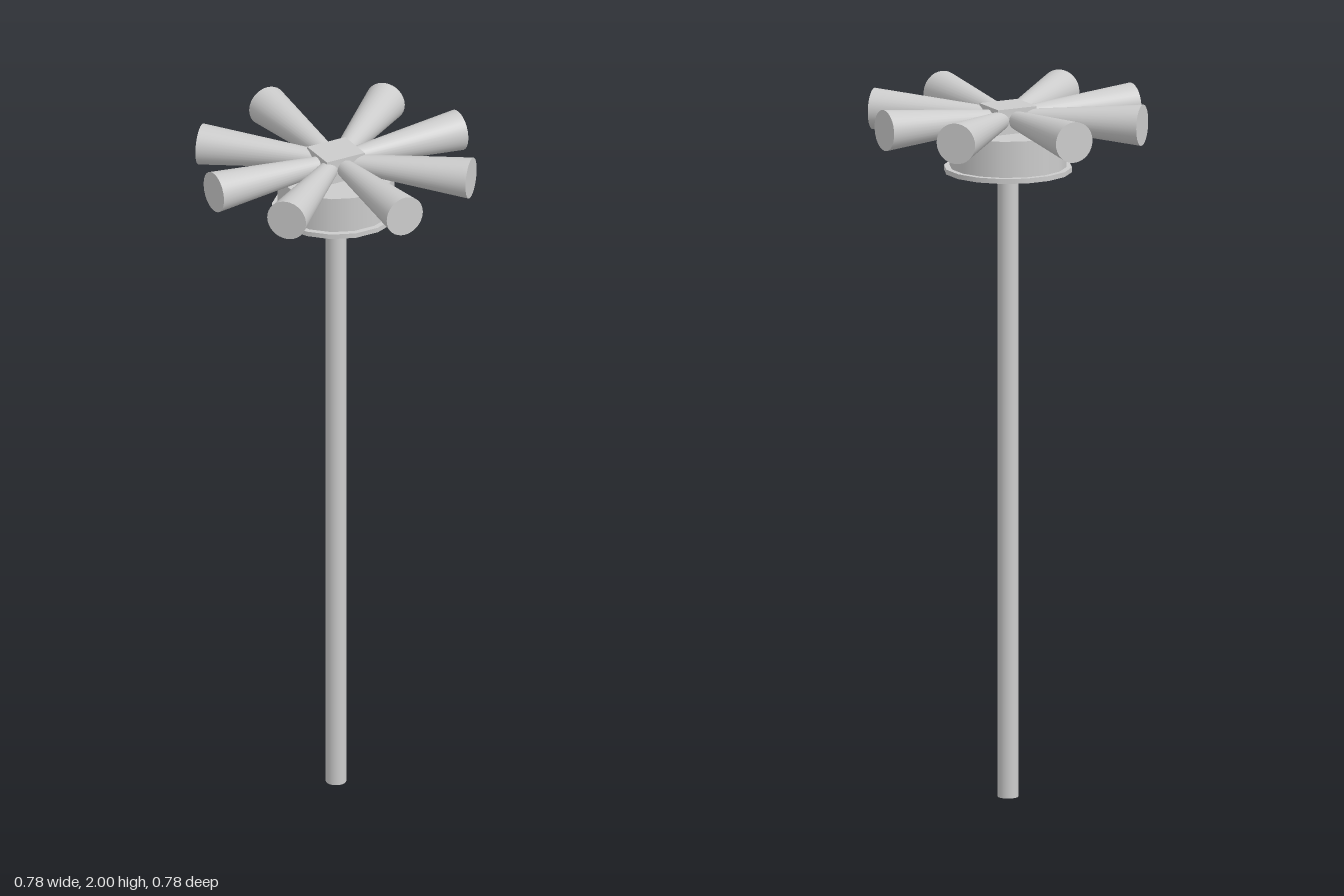
import * as THREE from 'three';

const material = new THREE.MeshStandardMaterial({ color: 0xcccccc });

function addPart(parent, name, geometry, y = 0) {
  const mesh = new THREE.Mesh(geometry, material);
  mesh.name = name;
  mesh.position.y = y;
  parent.add(mesh);
  return mesh;
}

// Upright cylinder spanning y0..y1
function upright(parent, name, radius, y0, y1, sides) {
  const geometry = new THREE.CylinderGeometry(radius, radius, y1 - y0, sides);
  geometry.rotateY(Math.PI / sides);
  return addPart(parent, name, geometry, (y0 + y1) / 2);
}

export function createModel() {
  const model = new THREE.Group();
  model.name = 'hornPost';

  // Post and the drum it carries
  upright(model, 'post', 0.029, 0, 1.795, 24);
  upright(model, 'flange', 0.18, 1.788, 1.802, 16);
  upright(model, 'drum', 0.164, 1.802, 1.905, 16);

  // Square block where the horns meet
  addPart(model, 'hub', new THREE.BoxGeometry(0.122, 0.075, 0.112), 1.9395);

  // Eight horns widening outward; one diagonal pair sits at 40 degrees
  const length = 0.392;
  const hornGeometry = new THREE.CylinderGeometry(0.058, 0.021, length, 32);
  hornGeometry.translate(0, length / 2, 0);
  hornGeometry.rotateZ(-Math.PI / 2);
  const horns = new THREE.Group();
  horns.name = 'horns';
  horns.position.y = 1.942;
  for (const angle of [0, 40, 90, 135]) {
    for (const turn of [0, 180]) {
      const horn = addPart(horns, 'horn', hornGeometry);
      horn.rotation.y = THREE.MathUtils.degToRad(angle + turn);
    }
  }
  model.add(horns);

  return model;
}
